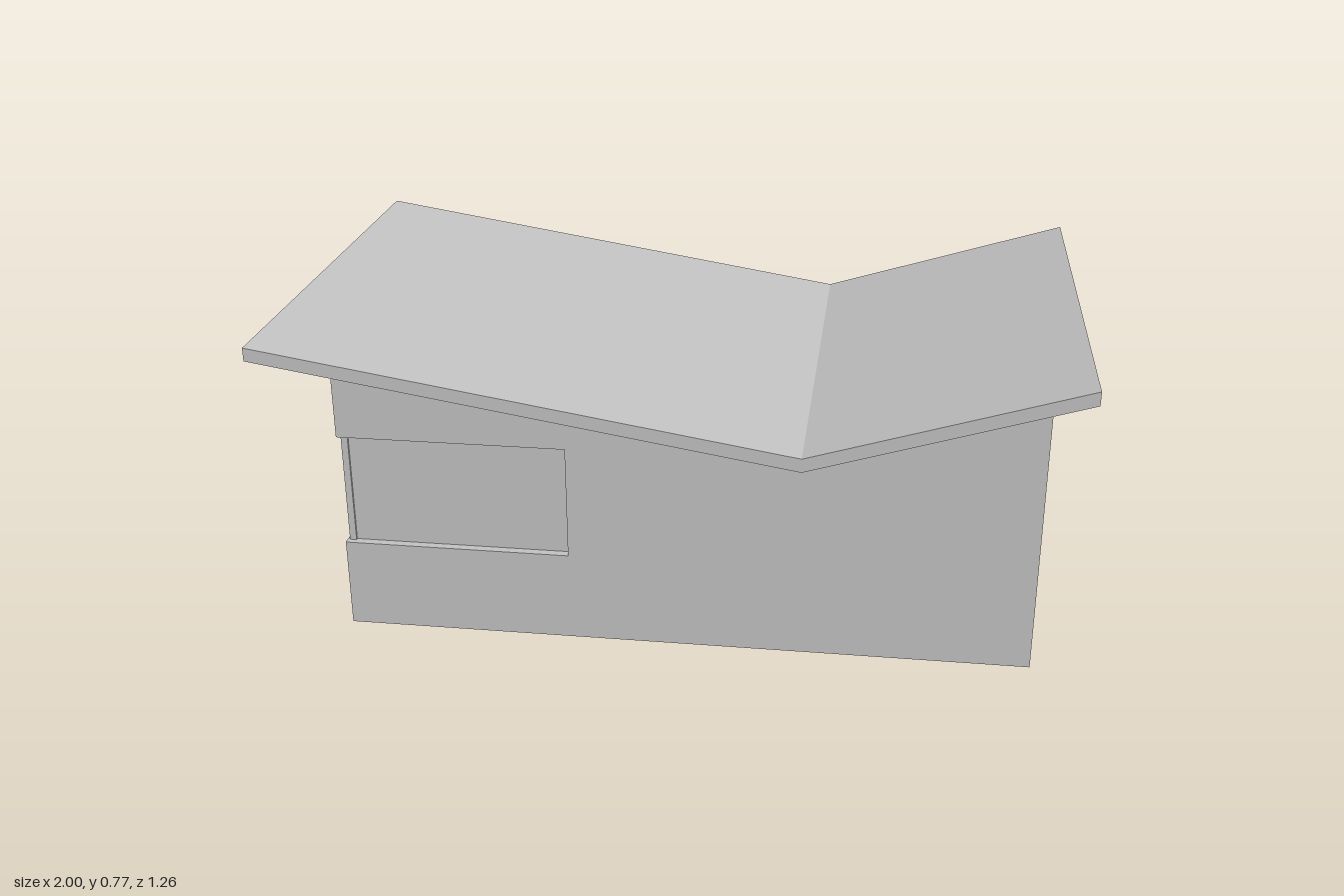
import * as THREE from 'three';

const plaster = new THREE.MeshStandardMaterial({ color: 0xc4c4c4 });
plaster.name = 'light grey';

// Main dimensions
const LEFT = 0.905, RIGHT = -0.81, HALF_Z = 0.573, SKIN = 0.022;
const PANE_X = -0.787, DOOR_X = 0.87, SILL = 0.23, HEAD = 0.52;
const VALLEY = [0.335, 0.52];

// Height of the roof underside at a given x
function eaveY(x) {
  return x < VALLEY[0]
    ? VALLEY[1] + (VALLEY[0] - x) * (0.212 / 1.335)
    : VALLEY[1] + (x - VALLEY[0]) * (0.206 / 0.665);
}

const toShape = pts => new THREE.Shape(pts.map(p => new THREE.Vector2(...p)));
const toPath = pts => new THREE.Path(pts.map(p => new THREE.Vector2(...p)));

export function createModel() {
  const model = new THREE.Group();
  model.name = 'house';

  function add(name, geometry) {
    const mesh = new THREE.Mesh(geometry, plaster);
    mesh.name = name;
    model.add(mesh);
    return mesh;
  }
  function slab(name, shape, z0, z1) {
    const g = new THREE.ExtrudeGeometry(shape, { depth: z1 - z0, bevelEnabled: false });
    g.translate(0, 0, z0);
    return add(name, g);
  }
  function box(name, x0, x1, y0, y1, z0, z1) {
    const g = new THREE.BoxGeometry(x1 - x0, y1 - y0, z1 - z0);
    g.translate((x0 + x1) / 2, (y0 + y1) / 2, (z0 + z1) / 2);
    return add(name, g);
  }

  // Butterfly roof
  slab('roof', toShape([
    [-1, eaveY(-1)], VALLEY, [1, eaveY(1)],
    [1, 0.761], [0.335, 0.555], [-1, 0.766],
  ]), -0.628, 0.628);

  // Inner block: its faces form the panes, the door and the back of the niche
  const inner = HALF_Z - SKIN;
  slab('core', toShape([
    [PANE_X, 0], [DOOR_X, 0], [DOOR_X, eaveY(DOOR_X)], VALLEY, [PANE_X, eaveY(PANE_X)],
  ]), -inner, inner);

  // Long walls, notched where the corner window wraps round
  const longWall = () => toShape([
    [RIGHT, 0], [LEFT, 0], [LEFT, eaveY(LEFT)], VALLEY, [RIGHT, eaveY(RIGHT)],
    [RIGHT, HEAD], [-0.24, HEAD], [-0.24, SILL], [RIGHT, SILL],
  ]);
  slab('frontWall', longWall(), inner, HALF_Z);

  // The back wall also has an irregular arched niche
  const back = longWall();
  back.holes.push(toPath([
    [0.328, 0.004], [0.282, 0.1], [0.228, 0.24], [0.21, 0.258], [0.09, 0.295],
    [0.042, 0.22], [0.058, 0.127], [0.038, 0.004],
  ]));
  slab('backWall', back, -HALF_Z, -inner);

  // End wall with the recessed door
  const end = toShape([[-inner, 0], [inner, 0], [inner, eaveY(LEFT)], [-inner, eaveY(LEFT)]]);
  end.holes.push(toPath([[0.11, 0.02], [0.11, 0.402], [0.285, 0.402], [0.285, 0.02]]));
  slab('doorWall', end, DOOR_X, LEFT).rotation.y = Math.PI / 2;

  // End wall with the window band
  box('wallBelowWindow', RIGHT, PANE_X, 0, SILL, -inner, inner);
  box('wallAboveWindow', RIGHT, PANE_X, HEAD, eaveY(RIGHT), -inner, inner);
  for (const z of [-0.551, -0.18, 0.155, 0.551]) {
    box('windowPost', -0.804, PANE_X, SILL, HEAD, z - 0.006, z + 0.006);
  }
  box('windowShelf', -0.85, PANE_X, 0.228, 0.237, -0.3, 0.285);

  return model;
}
